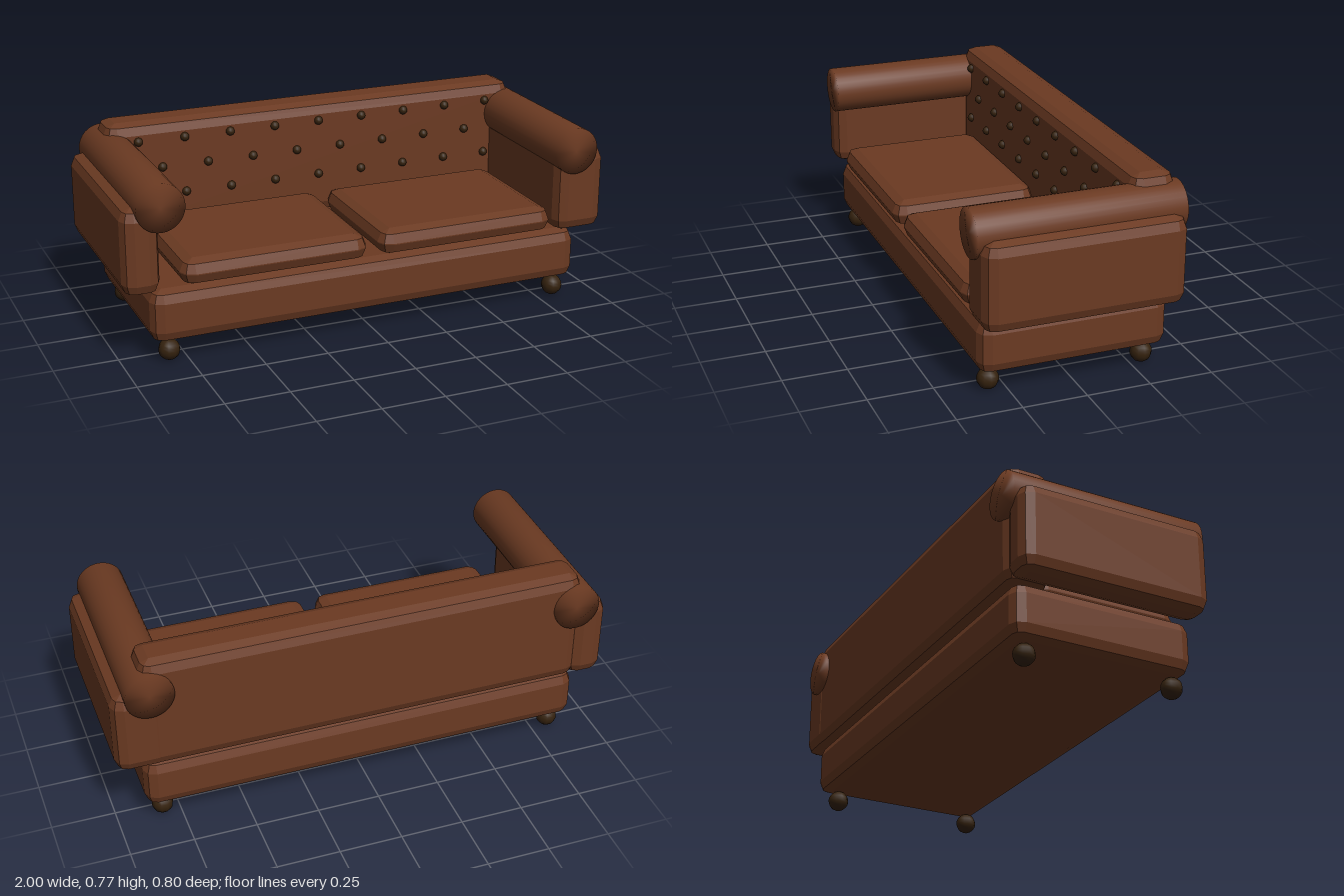
import * as THREE from 'three';
import { ConvexGeometry } from 'three/addons/geometries/ConvexGeometry.js';

const leather = new THREE.MeshStandardMaterial({ color: 0x6b3a22 });
leather.name = 'brown leather';
const darkWood = new THREE.MeshStandardMaterial({ color: 0x35220e });
darkWood.name = 'dark brown';

// Box between two corners, every edge rounded in two flat facets
function paddedBox(min, max, r = 0.047) {
  const points = [];
  for (const sx of [0, 1]) for (const sy of [0, 1]) for (const sz of [0, 1]) {
    const side = [sx, sy, sz];
    const centre = side.map((s, i) => (s ? max[i] - r : min[i] + r));
    const dir = side.map((s) => (s ? 1 : -1));
    for (let lat = 0; lat <= 2; lat++) for (let lon = 0; lon <= (lat === 2 ? 0 : 2); lon++) {
      const a = lat * Math.PI / 4, b = lon * Math.PI / 4;
      const d = [Math.cos(a) * Math.cos(b), Math.sin(a), Math.cos(a) * Math.sin(b)];
      points.push(new THREE.Vector3(...centre.map((c, i) => c + dir[i] * r * d[i])));
    }
  }
  return new ConvexGeometry(points);
}

export function createModel() {
  const sofa = new THREE.Group();
  sofa.name = 'sofa';
  const add = (name, geometry, material, x = 0, y = 0, z = 0) => {
    const mesh = new THREE.Mesh(geometry, material);
    mesh.name = name;
    mesh.position.set(x, y, z);
    sofa.add(mesh);
    return mesh;
  };

  // Upholstered blocks
  add('base', paddedBox([-0.893, 0.083, -0.37], [0.893, 0.293, 0.37]), leather);
  add('backrest', paddedBox([-0.887, 0.293, -0.388], [0.887, 0.767, -0.209]), leather);
  add('leftArm', paddedBox([0.79, 0.293, -0.39], [1, 0.635, 0.39]), leather);
  add('rightArm', paddedBox([-1, 0.293, -0.39], [-0.855, 0.635, 0.39]), leather);
  add('leftCushion', paddedBox([0.025, 0.3, -0.215], [0.775, 0.404, 0.385], 0.05), leather);
  add('rightCushion', paddedBox([-0.775, 0.3, -0.215], [-0.025, 0.404, 0.385], 0.05), leather);

  // Rolled arm tops, softly shaded over the rims
  const rollProfile = [[0, -0.4], [0.094, -0.4], [0.094, 0.4], [0, 0.4]]
    .map(([r, y]) => new THREE.Vector2(r, y));
  const roll = new THREE.LatheGeometry(rollProfile, 32).rotateX(Math.PI / 2);
  for (const s of [-1, 1]) add(s > 0 ? 'leftArmRoll' : 'rightArmRoll', roll, leather, s * 0.857, 0.636, 0);

  // Ball feet
  const foot = new THREE.SphereGeometry(0.042, 10, 10);
  for (const x of [-0.82, 0.82]) for (const z of [0.316, -0.295]) add('foot', foot, darkWood, x, 0.042, z);

  // Staggered rows of tufting buttons
  const button = new THREE.SphereGeometry(0.018, 10, 8);
  for (const [y, count] of [[0.695, 9], [0.581, 8], [0.467, 9]]) {
    for (let i = 0; i < count; i++) add('button', button, darkWood, (i - (count - 1) / 2) * 0.19, y, -0.207);
  }
  return sofa;
}
